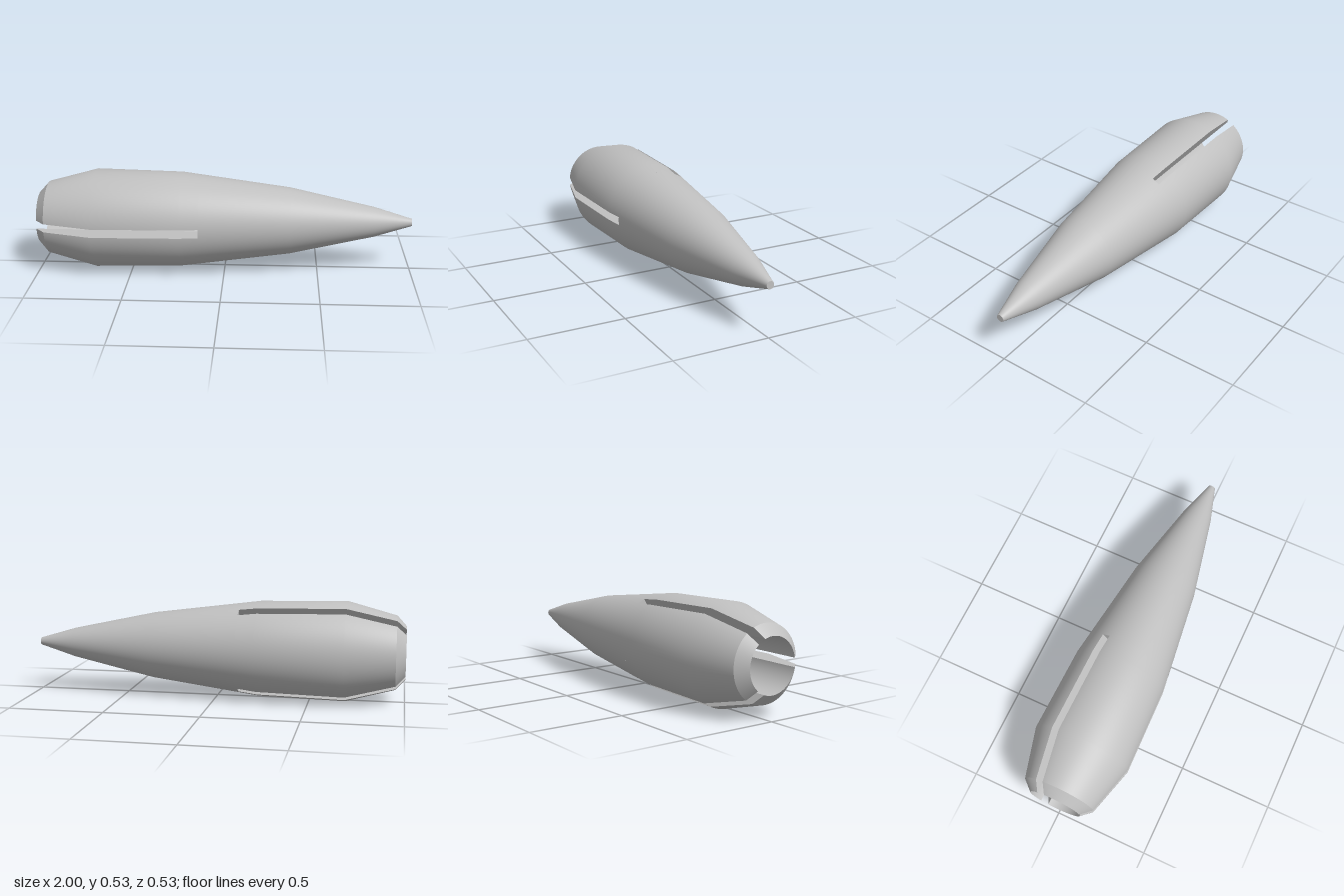
import * as THREE from 'three';

const AXIS_Y = 0.266;      // height of the body's long axis
const BORE = 0.14;         // radius of the open tail tube
const BORE_END = 0;        // how far forward the tube reaches
const SLOT_END = -0.13;    // forward end of the fin slots
const HALF = 0.0225;       // half the slot width
const THIRD = Math.PI * 2 / 3;

// Hull outline as [x, radius], tail chamfer to nose tip
const CHAMFER = [[-1, 0.14], [-0.95, 0.195]];
const HULL = [[-0.95, 0.195], [-0.69, 0.265], [-0.23, 0.254], [0.35, 0.178], [0.8, 0.08], [1, 0.02]];

// Add the smoothed slope angle to each outline point
function stations(points) {
  const slope = (i) => Math.atan2(points[i][1] - points[i + 1][1], points[i + 1][0] - points[i][0]);
  const last = points.length - 1;
  return points.map(([x, r], i) => {
    const before = slope(Math.max(0, i - 1));
    const after = slope(Math.min(last - 1, i));
    return { x, r, tilt: (before + after) / 2 };
  });
}

// Surface swept a third of a turn, kept clear of the slot by `half` on both sides
function sector(rows, half, inward = false, segments = 32) {
  const position = [], normal = [], index = [];
  const sign = inward ? -1 : 1;
  rows.forEach(({ x, r, tilt }, i) => {
    const gap = Math.asin(half / r);
    for (let j = 0; j <= segments; j++) {
      const a = gap + (THIRD - 2 * gap) * j / segments;
      const s = Math.sin(a), c = Math.cos(a);
      position.push(x, r * s, r * c);
      normal.push(sign * Math.sin(tilt), sign * Math.cos(tilt) * s, sign * Math.cos(tilt) * c);
      if (i === rows.length - 1 || j === segments) continue;
      const p = i * (segments + 1) + j, q = p + segments + 1;
      if (inward) index.push(p, p + 1, q, q, p + 1, q + 1);
      else index.push(p, q, p + 1, q, q + 1, p + 1);
    }
  });
  const g = new THREE.BufferGeometry();
  g.setAttribute('position', new THREE.Float32BufferAttribute(position, 3));
  g.setAttribute('normal', new THREE.Float32BufferAttribute(normal, 3));
  g.setIndex(index);
  return g;
}

export function createModel() {
  const model = new THREE.Group();
  model.name = 'slottedRocketBody';
  const grey = new THREE.MeshStandardMaterial({ color: 0xc0c0c0, side: THREE.DoubleSide });
  grey.name = 'light grey';

  const add = (parent, name, geometry) => {
    const mesh = new THREE.Mesh(geometry, grey);
    mesh.name = name;
    parent.add(mesh);
    return mesh;
  };

  // Split the hull where the slots end
  const hull = stations(HULL);
  const t = (SLOT_END - hull[2].x) / (hull[3].x - hull[2].x);
  const split = {
    x: SLOT_END,
    r: THREE.MathUtils.lerp(hull[2].r, hull[3].r, t),
    tilt: THREE.MathUtils.lerp(hull[2].tilt, hull[3].tilt, t),
  };
  const tailRows = [...hull.slice(0, 3), split];
  const noseRows = [split, ...hull.slice(3)];
  const boreRow = (x) => ({ x, r: BORE, tilt: 0 });

  // Side wall of a slot, from the tube out to the hull
  const outward = (r) => Math.sqrt(r * r - HALF * HALF);
  const wallShape = new THREE.Shape([
    [-1, outward(BORE)], [SLOT_END, outward(BORE)],
    ...tailRows.slice().reverse().map(({ x, r }) => [x, outward(r)]),
  ].map(([x, y]) => new THREE.Vector2(x, y)));

  // Three matching sections, one slot each
  for (let k = 0; k < 3; k++) {
    const section = new THREE.Group();
    section.name = `section${k + 1}`;
    section.rotation.x = -k * THIRD;
    section.position.y = AXIS_Y;
    model.add(section);

    add(section, 'noseHull', sector(noseRows, 0));
    add(section, 'tailHull', sector(tailRows, HALF));
    add(section, 'tailChamfer', sector(stations(CHAMFER), HALF));
    add(section, 'slottedTube', sector([boreRow(-1), boreRow(SLOT_END)], HALF, true));
    add(section, 'forwardTube', sector([boreRow(SLOT_END), boreRow(BORE_END)], 0, true));

    for (const side of [-1, 1]) {
      const wall = new THREE.ShapeGeometry(wallShape);
      wall.rotateX(Math.PI / 2).translate(0, side * HALF, 0);
      add(section, 'slotWall', wall);
    }
    const end = new THREE.PlaneGeometry(split.r - BORE, HALF * 2);
    end.rotateY(-Math.PI / 2).translate(SLOT_END, 0, (split.r + BORE) / 2);
    add(section, 'slotEnd', end);
  }

  // Flat nose tip and the closed end of the tube
  const tip = add(model, 'noseTip', new THREE.CircleGeometry(0.02, 48).rotateY(Math.PI / 2));
  tip.position.set(1, AXIS_Y, 0);
  const bulkhead = add(model, 'tubeBulkhead', new THREE.CircleGeometry(BORE, 96).rotateY(-Math.PI / 2));
  bulkhead.position.set(BORE_END, AXIS_Y, 0);

  return model;
}
